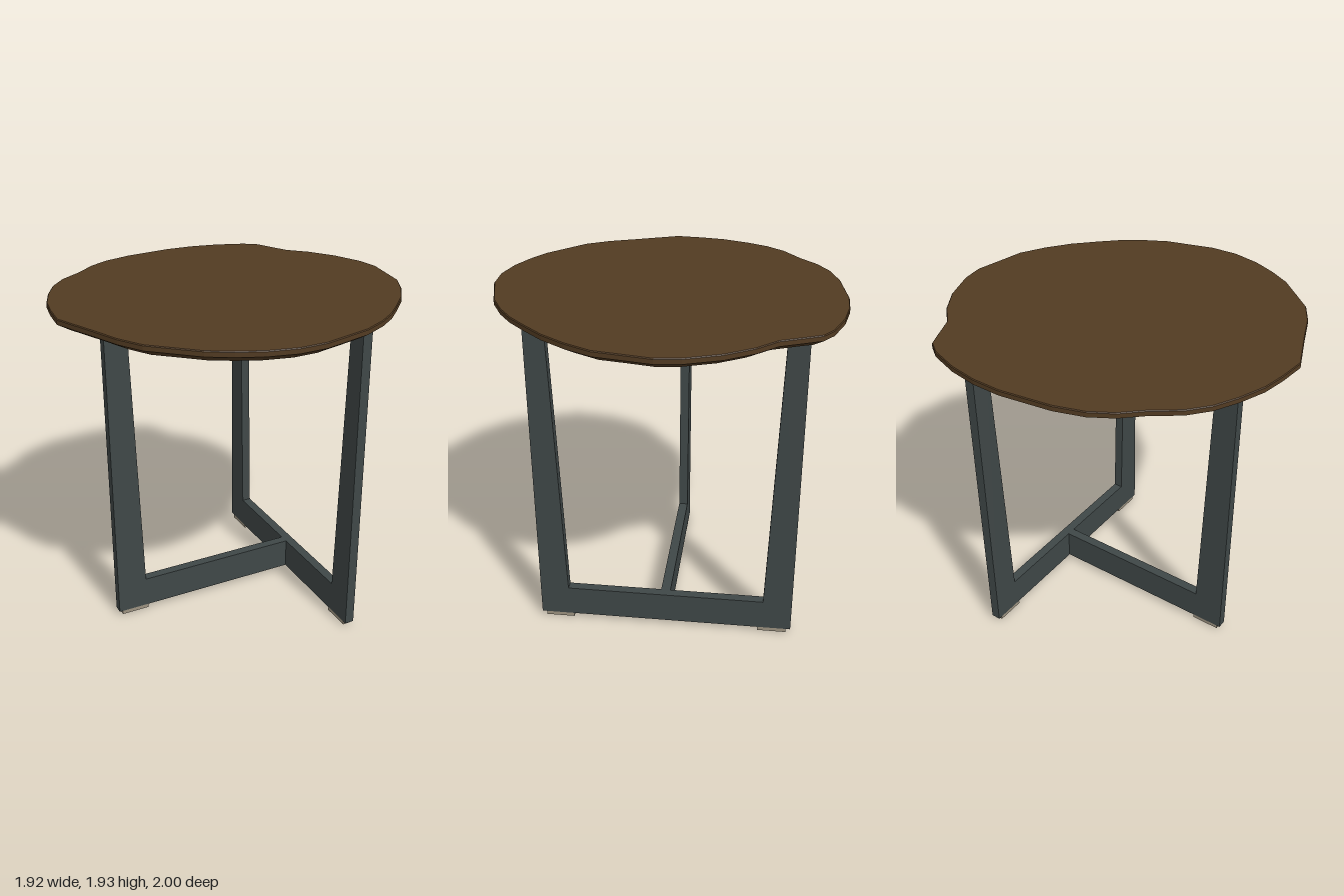
import * as THREE from 'three';

const wood = new THREE.MeshStandardMaterial({ name: 'dark wood', color: 0x523b22 });
const steel = new THREE.MeshStandardMaterial({ name: 'grey steel', color: 0x3f4747 });
const felt = new THREE.MeshStandardMaterial({ name: 'beige foot pad', color: 0x9c9280 });

// Irregular slab outline as [x, z], clockwise seen from above
const OUTLINE = [
  [-0.02, -1], [0.11, -0.995], [0.26, -0.94], [0.4, -0.89], [0.53, -0.79], [0.645, -0.675],
  [0.745, -0.54], [0.82, -0.43], [0.88, -0.31], [0.93, -0.16], [0.96, 0.125], [0.94, 0.28],
  [0.88, 0.43], [0.8, 0.555], [0.71, 0.665], [0.59, 0.76], [0.475, 0.85], [0.33, 0.905],
  [0.16, 0.94], [-0.105, 1], [-0.26, 0.96], [-0.39, 0.915], [-0.53, 0.835], [-0.645, 0.75],
  [-0.735, 0.645], [-0.81, 0.495], [-0.89, 0.375], [-0.94, 0.245], [-0.963, 0.08], [-0.955, -0.21],
  [-0.925, -0.37], [-0.87, -0.525], [-0.785, -0.68], [-0.72, -0.745], [-0.63, -0.77],
  [-0.495, -0.805], [-0.375, -0.89], [-0.215, -0.96],
];

// Outline moved inward along its corner normals, at height y
function ring(inset, y) {
  const n = OUTLINE.length;
  return OUTLINE.map(([x, z], i) => {
    const [ax, az] = OUTLINE[(i + n - 1) % n];
    const [bx, bz] = OUTLINE[(i + 1) % n];
    const len = Math.hypot(bx - ax, bz - az);
    return [x - ((bz - az) / len) * inset, y, z + ((bx - ax) / len) * inset];
  });
}

// Slab: flat top, thin upright rim, undercut bevel, faintly bowed underside
function slabGeometry() {
  const point = (y) => OUTLINE.map(() => [0, y, 0]);
  const rings = [point(1.935), ring(0.004, 1.935), ring(0, 1.93), ring(0, 1.905), ring(0.075, 1.861), point(1.847)];
  const pos = [];
  const n = OUTLINE.length;
  for (let r = 0; r < rings.length - 1; r++) {
    const [up, lo] = [rings[r], rings[r + 1]];
    for (let i = 0; i < n; i++) {
      const j = (i + 1) % n;
      if (r > 0) pos.push(...up[i], ...up[j], ...(r < rings.length - 2 ? lo[j] : lo[i]));
      if (r < rings.length - 2) pos.push(...up[i], ...lo[j], ...lo[i]);
    }
  }
  const geo = new THREE.BufferGeometry();
  geo.setAttribute('position', new THREE.Float32BufferAttribute(pos, 3));
  geo.computeVertexNormals();
  return geo;
}

const T = 0.055; // plate thickness
const BOTTOM = 0.025, RAIL = 0.207, TOP = 1.856;
const HALF = 0.743; // half length of the two-legged frame
const REACH = 1.181; // length of the single-legged arm

function plate(points, name) {
  const shape = new THREE.Shape(points.map(([x, y]) => new THREE.Vector2(x, y)));
  const geo = new THREE.ExtrudeGeometry(shape, { depth: T, bevelEnabled: false });
  geo.translate(0, 0, -T / 2);
  const mesh = new THREE.Mesh(geo, steel);
  mesh.name = name;
  return mesh;
}

function footPad(x, name) {
  const mesh = new THREE.Mesh(new THREE.BoxGeometry(0.167, BOTTOM, T - 0.006), felt);
  mesh.position.set(x, BOTTOM / 2, 0);
  mesh.name = name;
  return mesh;
}

export function createModel() {
  const model = new THREE.Group();
  model.name = 'sideTable';

  const top = new THREE.Mesh(slabGeometry(), wood);
  top.name = 'tableTop';
  model.add(top);

  // Base is turned slightly about the vertical
  const base = new THREE.Group();
  base.name = 'base';
  base.position.set(0.036, 0, -0.44);
  base.rotation.y = -0.162;
  model.add(base);

  // Two tapered legs joined by a rail
  base.add(plate([
    [-HALF, BOTTOM], [HALF, BOTTOM], [HALF, TOP], [HALF - 0.115, TOP], [HALF - 0.167, RAIL],
    [-HALF + 0.167, RAIL], [-HALF + 0.115, TOP], [-HALF, TOP],
  ], 'rearFrame'));
  base.add(footPad(HALF - 0.11, 'leftFootPad'), footPad(-HALF + 0.11, 'rightFootPad'));

  // Single tapered leg on an arm running forward from the rail
  const arm = new THREE.Group();
  arm.name = 'frontArm';
  arm.rotation.y = -Math.PI / 2;
  arm.add(plate([
    [T / 2, BOTTOM], [REACH, BOTTOM], [REACH, TOP], [REACH - 0.131, TOP],
    [REACH - 0.178, RAIL], [T / 2, RAIL],
  ], 'frontLeg'));
  arm.add(footPad(REACH - 0.104, 'frontFootPad'));
  base.add(arm);

  return model;
}
